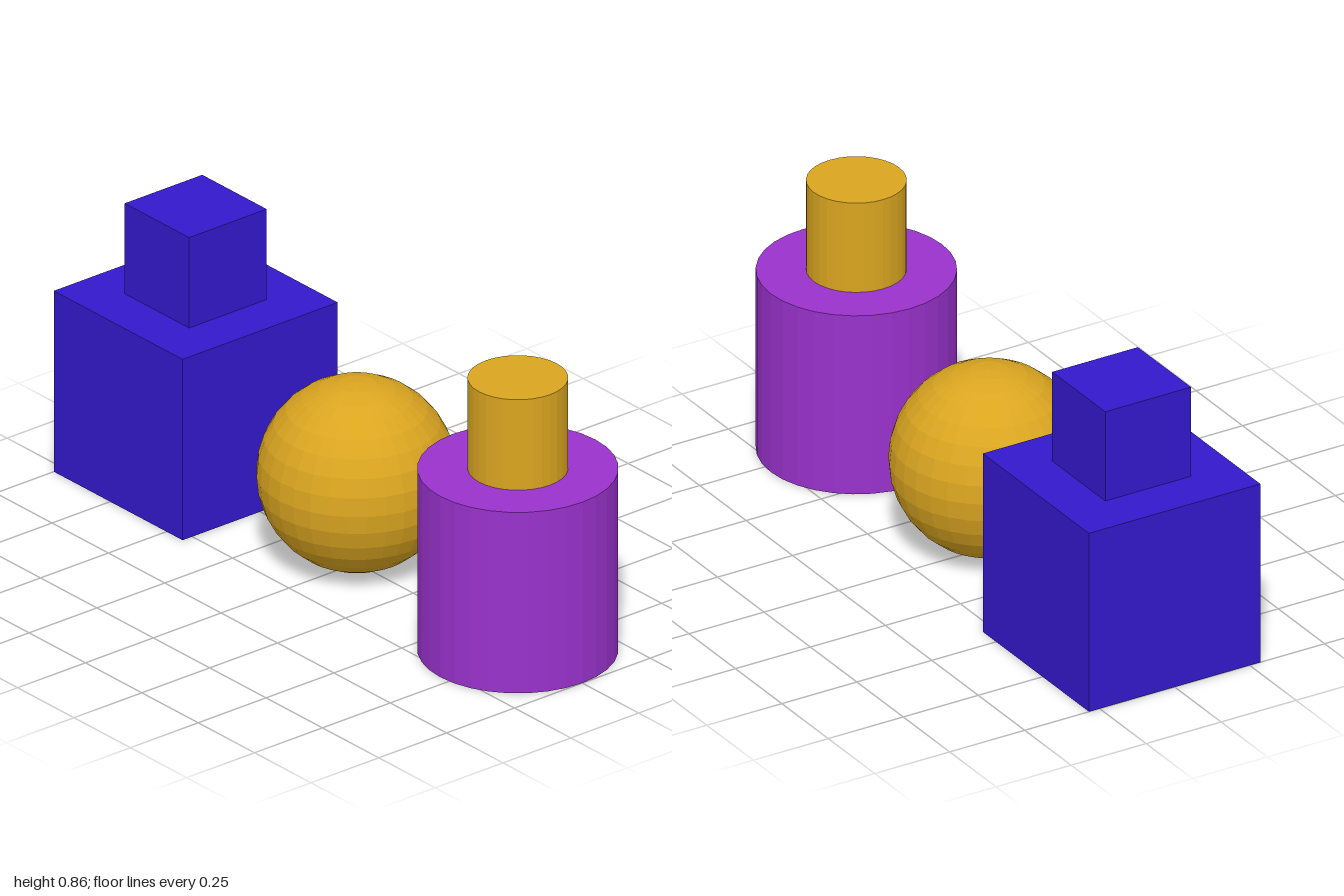
import * as THREE from 'three';

const U = 2 / 7; // basic unit: radius of the sphere and the large cylinder

const material = (color) => new THREE.MeshStandardMaterial({ color, flatShading: true });

export function createModel() {
  const model = new THREE.Group();
  const blue = material(0x3418cc);
  const gold = material(0xdaa520);
  const purple = material(0x9932cc);

  const add = (name, geometry, mat, x, y) => {
    const mesh = new THREE.Mesh(geometry, mat);
    mesh.name = name;
    mesh.position.set(x, y, 0);
    model.add(mesh);
  };

  // Stacked cubes
  add('largeCube', new THREE.BoxGeometry(2 * U, 2 * U, 2 * U), blue, -2.5 * U, U);
  add('smallCube', new THREE.BoxGeometry(U, U, U), blue, -2.5 * U, 2.5 * U);

  // Sphere in the middle
  add('sphere', new THREE.SphereGeometry(U, 32, 16), gold, 0, U);

  // Stacked cylinders
  add('largeCylinder', new THREE.CylinderGeometry(U, U, 2 * U, 32), purple, 2.5 * U, U);
  add('smallCylinder', new THREE.CylinderGeometry(U / 2, U / 2, U, 32), gold, 2.5 * U, 2.5 * U);

  return model;
}
